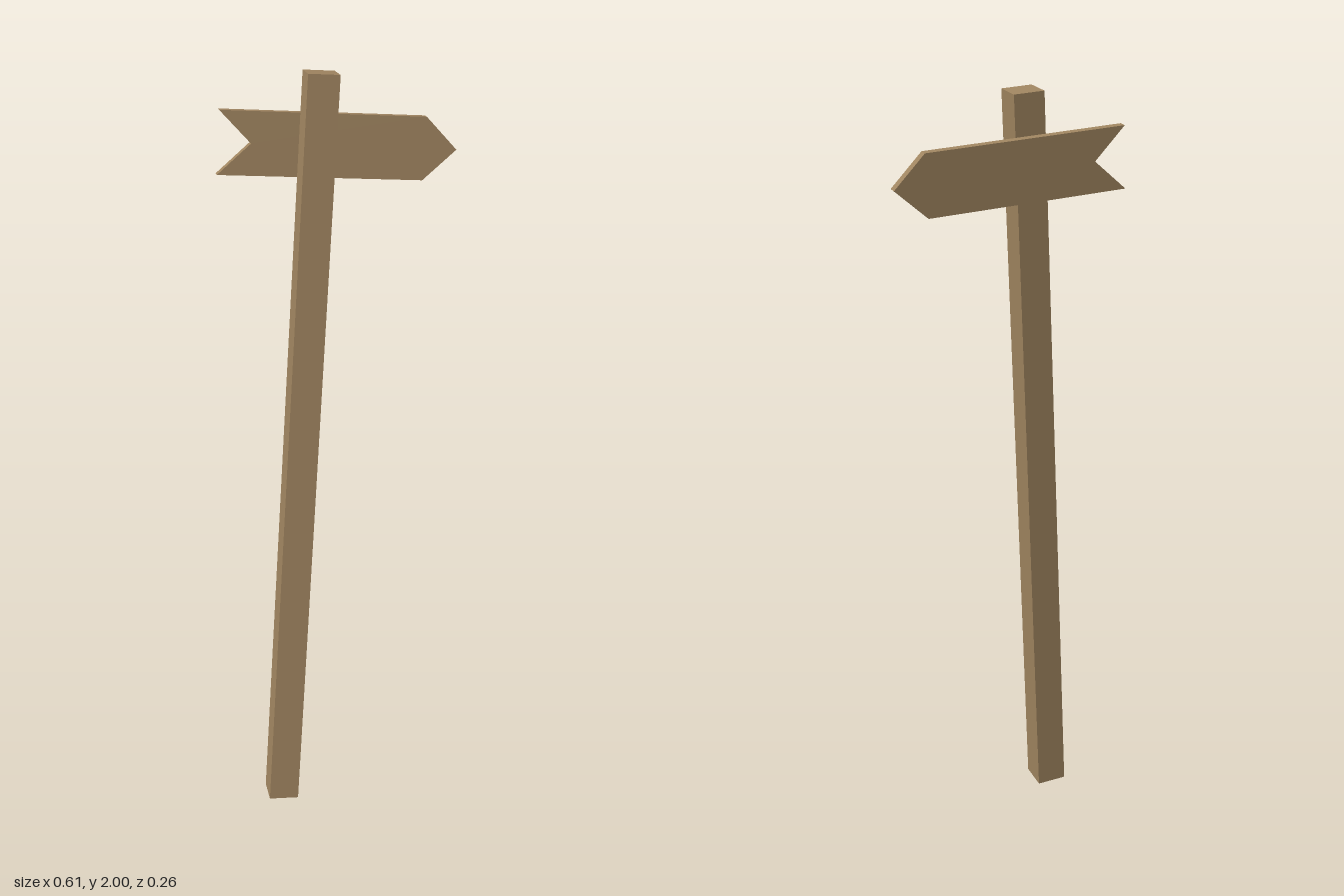
import * as THREE from 'three';

export function createModel() {
  const model = new THREE.Group();
  model.name = 'signpost';
  const wood = new THREE.MeshStandardMaterial({ color: 0xa08560, flatShading: true });

  // Post and board share the same lean: back and toward +x
  const addPart = (name, geometry, x, y, z) => {
    const mesh = new THREE.Mesh(geometry, wood);
    mesh.name = name;
    mesh.position.set(x, y, z);
    mesh.rotation.set(-0.083, 0, -0.0777, 'ZXY');
    model.add(mesh);
  };

  // Square post
  addPart('post', new THREE.BoxGeometry(0.08, 2, 0.08), -0.123, 1, 0.007);

  // Arrow board: pointed on one end, notched on the other
  const thickness = 0.024;
  const outline = new THREE.Shape([
    [-0.262, -0.08], [0.262, -0.08], [0.345, 0], [0.262, 0.08], [-0.262, 0.08], [-0.18, 0],
  ].map(([x, y]) => new THREE.Vector2(x, y)));
  const board = new THREE.ExtrudeGeometry(outline, { depth: thickness, bevelEnabled: false });
  board.translate(0, 0, -thickness / 2);
  addPart('arrowBoard', board, -0.04, 1.804, -0.113);

  return model;
}
